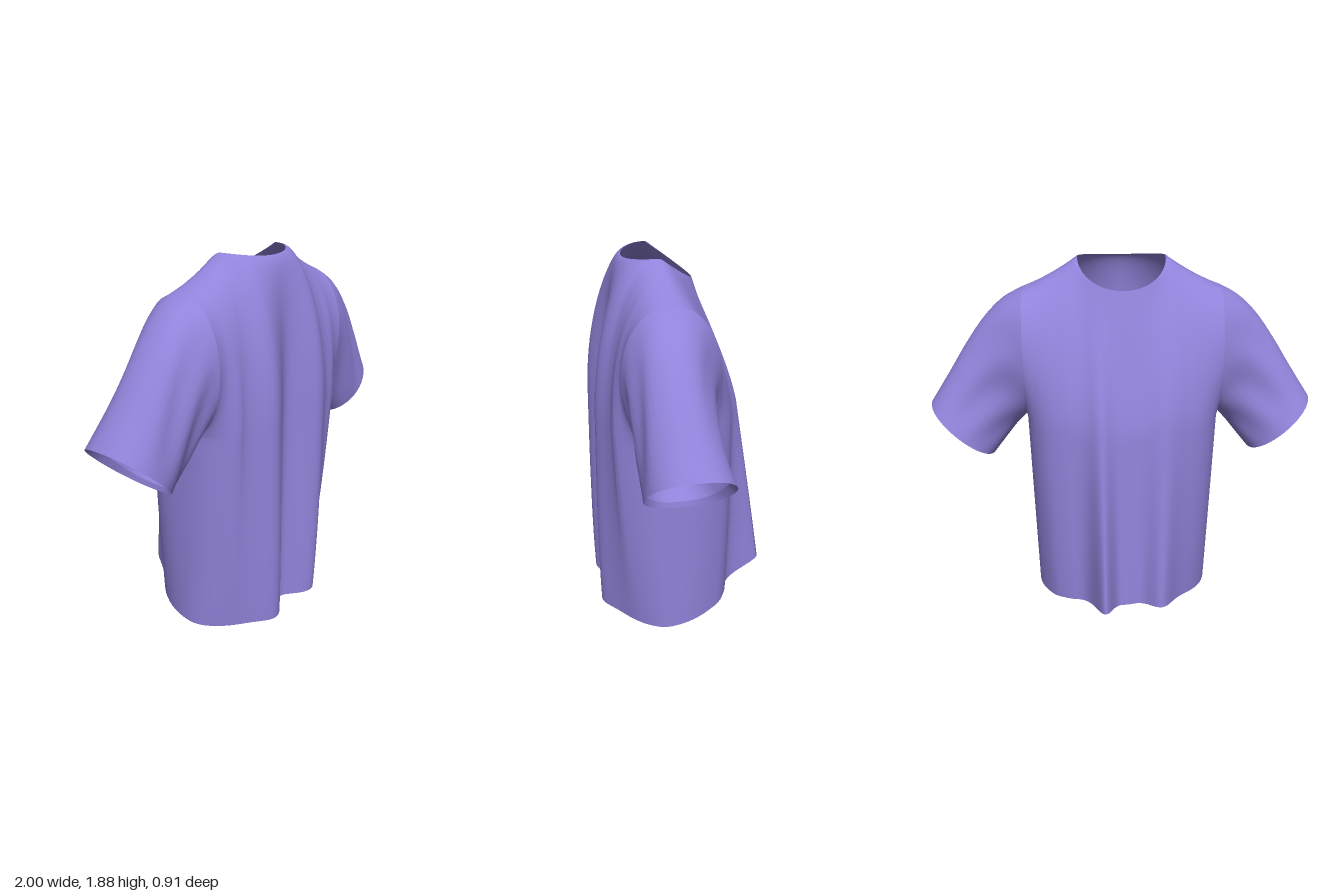
import * as THREE from 'three';
import { mergeGeometries, mergeVertices } from 'three/addons/utils/BufferGeometryUtils.js';

const { lerp } = THREE.MathUtils;
const ARMPIT = 1.07, HALF = 0.5, NECK = 0.22, NECK_BASE = 0.3, ZC = 0.12;
const LOWER = 22, UPPER = 22, NECK_COLS = 18, SIDE_COLS = 12;
const LAST = 2 * (NECK_COLS + SIDE_COLS);
const bump = (x, c, w) => Math.exp(-(((x - c) / w) ** 2));
const round = s => Math.sign(s) * Math.abs(s) ** 0.85;

// Surface from a function of (column, row)
function grid(cols, rows, point, flip) {
  const pos = [], idx = [];
  for (let i = 0; i <= cols; i++) for (let j = 0; j <= rows; j++) pos.push(...point(i, j));
  for (let i = 0; i < cols; i++) for (let j = 0; j < rows; j++) {
    const a = i * (rows + 1) + j, b = a + rows + 1;
    if (flip) idx.push(a, b + 1, b, a, a + 1, b + 1);
    else idx.push(a, b, b + 1, a, b + 1, a + 1);
  }
  const g = new THREE.BufferGeometry();
  g.setAttribute('position', new THREE.Float32BufferAttribute(pos, 3));
  g.setIndex(idx);
  return g;
}

// Merge touching edges, then smooth
function weld(parts) {
  const g = mergeVertices(mergeGeometries(parts), 1e-4);
  g.computeVertexNormals();
  return g;
}

// Columns fan out from the neckline: x at the hem, x at the top edge,
// s = position round the neck opening (1 centre, 0 side), k = along the shoulder
const columns = [];
for (let i = 0; i <= LAST; i++) {
  const n = i - LAST / 2, m = Math.abs(n), sign = Math.sign(n);
  if (m <= NECK_COLS) {
    const q = m / NECK_COLS, angle = q * Math.PI / 2;
    columns.push({ base: sign * NECK_BASE * q, top: sign * NECK * Math.sin(angle),
      s: Math.cos(angle), k: 0 });
  } else {
    const k = Math.sin((m - NECK_COLS) / SIDE_COLS * Math.PI / 2);
    columns.push({ base: sign * lerp(NECK_BASE, HALF, k), top: sign * lerp(NECK, HALF, k),
      s: 0, k });
  }
}

// Body outline, oval at the hem and squarer at the armpits, with hanging folds;
// fade is the fold strength, soften eases the corners into the armholes
function depth(x, y, front, fade, soften = 0) {
  const up = y / ARMPIT;
  const p = lerp(front ? 1.75 : 2.1, 3, up);
  const f = Math.max(0, 1 - Math.abs(x / HALF) ** p) ** lerp(1 / p, 0.8, soften);
  if (front) {
    const base = lerp(0.335, 0.298, up);
    const folds = 0.035 * (bump(x, -0.2, 0.08) + bump(x, 0.2, 0.08))
      + 0.04 * up * (bump(x, -0.41, 0.035) + bump(x, 0.41, 0.035))
      - (base - 0.238) * bump(x, 0, 0.09);
    return [ZC + f * (base + folds * fade), f];
  }
  const folds = 0.125 * bump(x, -0.2, 0.08) + 0.19 * bump(x, 0.12, 0.055)
    + 0.03 * bump(x, 0, 0.06) - 0.02 * bump(x, 0.25, 0.05) + 0.02 * bump(x, 0.4, 0.04);
  return [ZC - f * (lerp(0.415, 0.375, up) + folds * fade * lerp(1, 0.25, up)), f];
}

// One point of the front or back panel
function panel(column, row, front) {
  const { base, top, s, k } = columns[column];
  const sign = front ? 1 : -1;
  if (row <= LOWER) {
    const [zHem] = depth(base, 0, front, 1);
    const hem = 0.005 + 0.24 * Math.max(0, 0.2 - zHem) ** 1.6;
    const y = lerp(hem, ARMPIT, row / LOWER);
    return [base * lerp(0.965, 1, y / ARMPIT), y, depth(base, y, front, 1)[0]];
  }
  const t = (row - LOWER) / UPPER;
  const [z0, f] = depth(base, ARMPIT, front, 1 - t * t, Math.min(1, 2 * t));
  // top edge: neckline in the middle, shoulder ridge outside it
  const yTop = 1.88 - (front ? 0.02 * s * s : 0.13 * s) - 0.15 * k * (1.3 - 0.3 * k);
  const zTop = ZC + sign * s * (front ? 0.15 : 0.19);
  const rise = lerp((1 - Math.cos(Math.PI * t)) / 2, Math.sin(t * Math.PI / 2), f);
  const fall = front ? Math.cos(t * Math.PI / 2) ** 1.15 : 1 - rise ** lerp(1.8, 1.2, s);
  const swell = Math.sin(Math.PI * t);
  const crease = 0.008 * f * bump(Math.abs(base), 0.4, 0.05) * Math.sin(base * 120 + t * 5) * swell;
  const z = zTop + (z0 - zTop) * fall + sign * ((1 - f) * 0.23 * round(swell) + crease);
  return [lerp(base, top, t ** 1.5), lerp(ARMPIT, yTop, rise), z];
}

// Sleeve outline seen from the front
const outline = points => new THREE.CatmullRomCurve3(
  points.map(([x, y]) => new THREE.Vector3(x, y, 0)));
const sleeveTop = outline([[0.5, 1.73], [0.6, 1.675], [0.7, 1.58], [0.8, 1.445], [0.9, 1.29], [1, 1.14]]);
const sleeveBottom = outline([[0.5, ARMPIT], [0.56, 1.0], [0.62, 0.925], [0.685, 0.85]]);

function sleevePoint(side, u, angle, scale = 1) {
  const top = sleeveTop.getPoint(u), low = sleeveBottom.getPoint(u);
  const mid = top.clone().add(low).multiplyScalar(0.5);
  const half = top.sub(low).multiplyScalar(0.5 * scale);
  const sag = Math.sin(Math.PI * u);
  const ripple = 0.012 * sag * Math.sin(angle * 7 + u * 6) * Math.abs(Math.sin(angle));
  const r = (lerp(0.23, 0.205, u) - 0.04 * sag + ripple) * scale;
  const c = -Math.cos(angle);
  return [side * (mid.x + half.x * c), mid.y + half.y * c,
    lerp(ZC, 0.105, u) + 0.025 * sag + r * round(Math.sin(angle))];
}

export function createModel() {
  const group = new THREE.Group();
  const fabric = new THREE.MeshStandardMaterial({ color: 0x9183da, side: THREE.DoubleSide });
  fabric.name = 'violetFabric';
  const add = (name, geometry) => {
    const mesh = new THREE.Mesh(geometry, fabric);
    mesh.name = name;
    group.add(mesh);
  };
  const sides = [[1, 'left'], [-1, 'right']];
  const angle = j => Math.PI * j / UPPER;

  // Panels and sleeves, smoothed together so the armholes flow
  const cloth = [
    ['frontPanel', grid(LAST, LOWER + UPPER, (i, j) => panel(i, j, true), false)],
    ['backPanel', grid(LAST, LOWER + UPPER, (i, j) => panel(i, j, false), true)],
    ...sides.map(([side, name]) => [name + 'Sleeve', grid(20, 2 * UPPER,
      (i, j) => sleevePoint(side, i / 20, angle(j)), side < 0)]),
  ];
  const shell = weld(cloth.map(([, g]) => g));
  let start = 0;
  for (const [name, g] of cloth) {
    const part = new THREE.BufferGeometry();
    part.setAttribute('position', shell.attributes.position);
    part.setAttribute('normal', shell.attributes.normal);
    part.setIndex([...shell.index.array.slice(start, start + g.index.count)]);
    start += g.index.count;
    add(name, part);
  }

  // Turned-in hem
  add('hemFold', weld([true, false].map(front => grid(LAST, 1, (i, j) => {
    const [x, y, z] = panel(i, 0, front);
    return j ? [x * 0.975, y + 0.04, ZC + (z - ZC) * 0.965] : [x, y, z];
  }, front))));

  // Turned-in cuffs
  for (const [side, name] of sides) {
    add(name + 'CuffFold', weld([grid(1, 2 * UPPER,
      (i, j) => sleevePoint(side, 1 - 0.07 * i, angle(j), 1 - 0.07 * i), side < 0)]));
  }
  return group;
}
